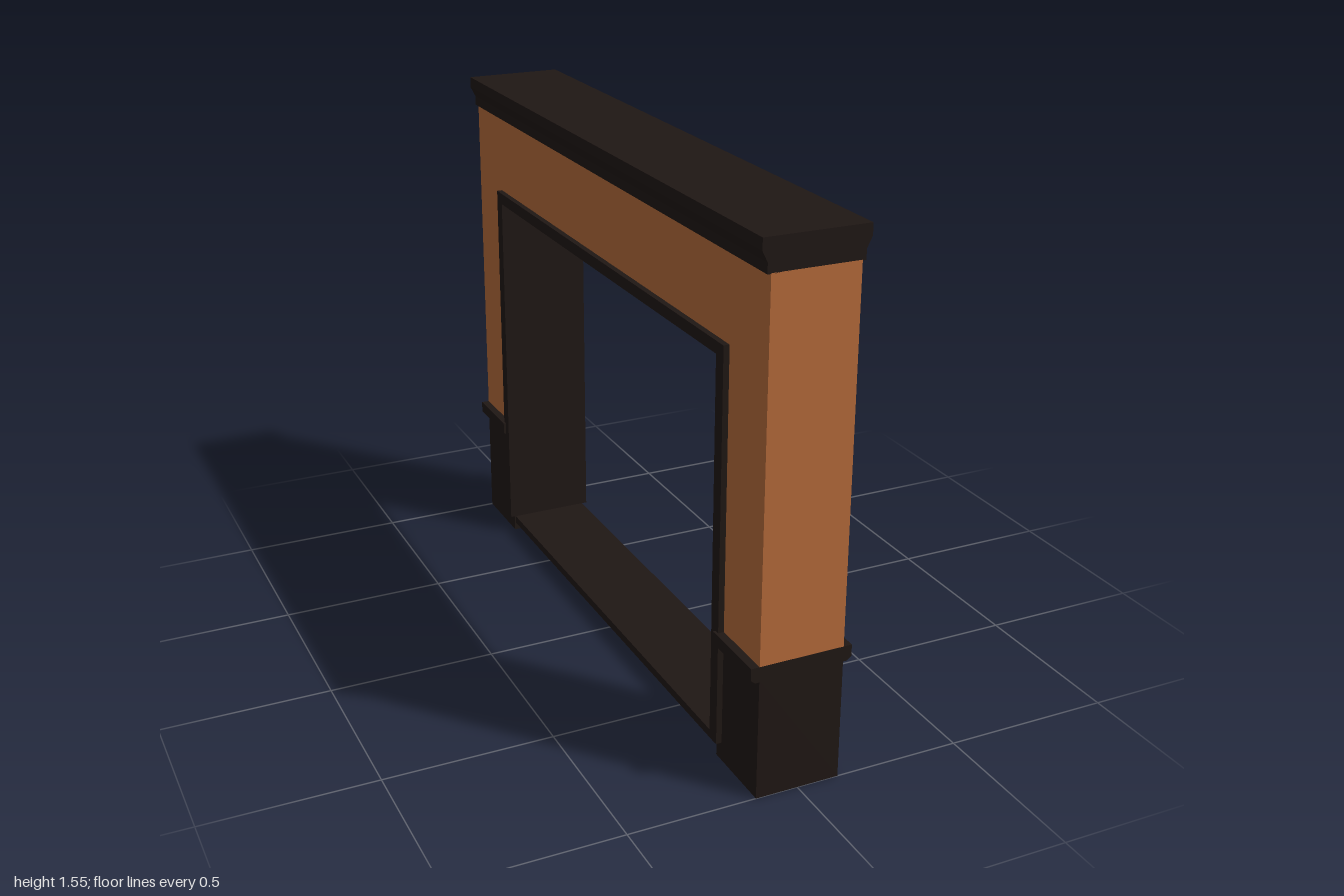
import * as THREE from 'three';

const brick = new THREE.MeshStandardMaterial({ color: 0xb46a3a });
const dark = new THREE.MeshStandardMaterial({ color: 0x1f1714 });

const toShape = (points) => new THREE.Shape(points.map(([a, b]) => new THREE.Vector2(a, b)));

// Extrudes a [z, y] outline through the wall thickness, centred on x = 0
function acrossX(name, points, width, material) {
  const geometry = new THREE.ExtrudeGeometry(toShape(points), { depth: width, bevelEnabled: false });
  geometry.translate(0, 0, -width / 2).rotateY(-Math.PI / 2);
  const mesh = new THREE.Mesh(geometry, material);
  mesh.name = name;
  return mesh;
}

// Extrudes a mirrored [x, y] half profile along the wall from z0 to z1
function alongZ(name, half, z0, z1, material) {
  const mirrored = half.map(([x, y]) => [-x, y]).reverse();
  const geometry = new THREE.ExtrudeGeometry(toShape([...half, ...mirrored]), { depth: z1 - z0, bevelEnabled: false });
  geometry.translate(0, 0, z0);
  const mesh = new THREE.Mesh(geometry, material);
  mesh.name = name;
  return mesh;
}

// Outline of an upside-down U: outer and inner half widths, base, inner top and outer top
const arch = (outer, inner, base, innerTop, top) => [
  [-outer, base], [-inner, base], [-inner, innerTop], [inner, innerTop],
  [inner, base], [outer, base], [outer, top], [-outer, top],
];

export function createModel() {
  const model = new THREE.Group();
  model.name = 'gateway';

  // Wall around the opening and the trim lining it
  model.add(acrossX('wall', arch(1, 0.79, 0.4, 1.2, 1.46), 0.25, brick));
  model.add(acrossX('openingFrame', arch(0.8, 0.76, 0.055, 1.18, 1.215), 0.284, dark));

  // Threshold strip
  model.add(alongZ('threshold', [[0.125, 0.03], [0.125, 0.055]], -0.76, 0.76, dark));

  // Plinths with a projecting, chamfered rail on top
  const plinth = [[0.125, 0], [0.125, 0.36]];
  const rail = [[0.137, 0.355], [0.15, 0.365], [0.15, 0.4]];
  for (const side of [-1, 1]) {
    const range = (inner) => (side > 0 ? [inner, 1] : [-1, -inner]);
    model.add(alongZ('plinth', plinth, ...range(0.77), dark));
    model.add(alongZ('plinthRail', rail, ...range(0.785), dark));
  }

  // Cornice with a sloped underside
  const cornice = [[0.135, 1.458], [0.135, 1.487], [0.15, 1.517], [0.15, 1.55]];
  model.add(alongZ('cornice', cornice, -1, 1, dark));

  return model;
}
